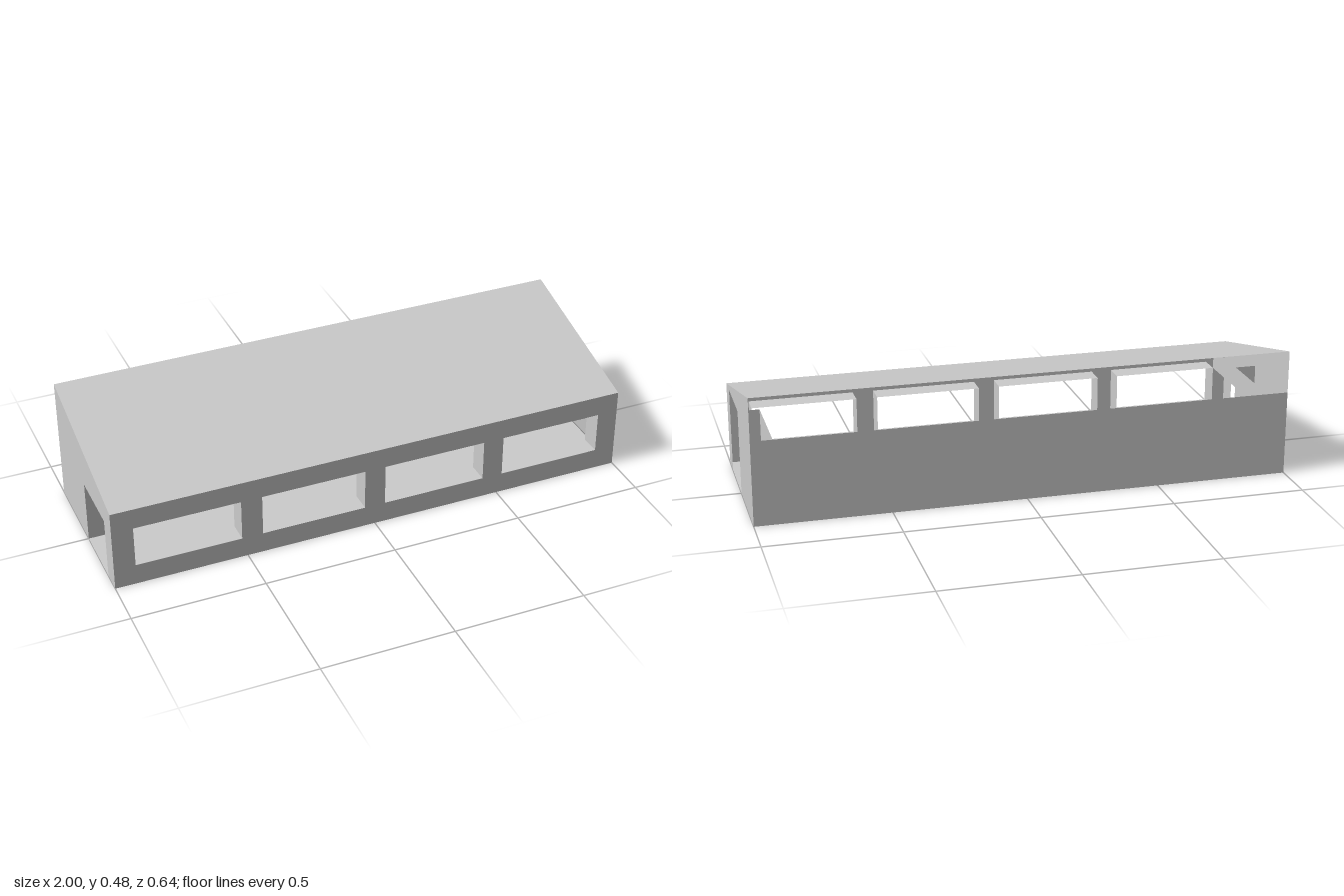
import * as THREE from 'three';

const material = new THREE.MeshStandardMaterial({ color: 0xcccccc, flatShading: true, side: THREE.DoubleSide });
const W = 1, D = 0.32, EAVE = 0.32, RIDGE = 0.48, T = 0.08;
const DOOR_BACK = 0, DOOR_FRONT = 0.24;

// Flat four-sided panel, corners counter-clockwise seen from its front
function panel(name, a, b, c, d) {
  const geometry = new THREE.BufferGeometry();
  geometry.setAttribute('position', new THREE.Float32BufferAttribute([...a, ...b, ...c, ...d], 3));
  geometry.setIndex([0, 1, 2, 0, 2, 3]);
  geometry.computeVertexNormals();
  const mesh = new THREE.Mesh(geometry, material);
  mesh.name = name;
  return mesh;
}

const outline = (points) => points.map(([x, y]) => new THREE.Vector2(x, y));
const rectangle = (x0, x1, y0, y1) => [[x0, y0], [x1, y0], [x1, y1], [x0, y1]];

// Front wall with four windows, each lined by a shallow reveal
function frontWall() {
  const group = new THREE.Group();
  group.name = 'frontWall';
  const shape = new THREE.Shape(outline(rectangle(-W, W, 0, EAVE)));
  for (let i = 0; i < 4; i++) {
    const x0 = -0.92 + i * 0.48;
    const corners = rectangle(x0, x0 + 0.4, 0.08, 0.24);
    shape.holes.push(new THREE.Path(outline(corners)));
    corners.forEach(([ax, ay], k) => {
      const [bx, by] = corners[(k + 1) % 4];
      group.add(panel('windowReveal', [ax, ay, D], [bx, by, D], [bx, by, D - T], [ax, ay, D - T]));
    });
  }
  const wall = new THREE.Mesh(new THREE.ShapeGeometry(shape), material);
  wall.name = 'windowWall';
  wall.position.z = D;
  group.add(wall);
  return group;
}

// Sloping end wall with a doorway; side is +1 (left) or -1 (right)
function endWall(side, doorHeight) {
  const group = new THREE.Group();
  group.name = side > 0 ? 'leftEnd' : 'rightEnd';
  const profile = [
    [D, 0], [DOOR_FRONT, 0], [DOOR_FRONT, doorHeight], [DOOR_BACK, doorHeight],
    [DOOR_BACK, 0], [-D, 0], [-D, RIDGE], [D, EAVE],
  ];
  const shape = new THREE.Shape(outline(profile.map(([z, y]) => [-side * z, y])));
  const wall = new THREE.Mesh(new THREE.ShapeGeometry(shape), material);
  wall.name = 'gableWall';
  wall.rotation.y = side * Math.PI / 2;
  wall.position.x = side * W;
  group.add(wall);

  // Inner lining behind the door and the door jamb
  const xo = side * W, xi = side * (W - T);
  group.add(panel('innerWall', [xi, 0, -D], [xi, 0, DOOR_BACK], [xi, EAVE, DOOR_BACK], [xi, EAVE, -D]));
  group.add(panel('doorJamb', [xi, 0, DOOR_BACK], [xo, 0, DOOR_BACK], [xo, EAVE, DOOR_BACK], [xi, EAVE, DOOR_BACK]));
  if (doorHeight < EAVE) {
    group.add(panel('doorHead', [xo, doorHeight, DOOR_BACK], [xi, doorHeight, DOOR_BACK],
      [xi, doorHeight, DOOR_FRONT], [xo, doorHeight, DOOR_FRONT]));
    group.add(panel('doorHeader', [xi, doorHeight, DOOR_BACK], [xi, doorHeight, DOOR_FRONT],
      [xi, EAVE, DOOR_FRONT], [xi, EAVE, DOOR_BACK]));
  }
  return group;
}

export function createModel() {
  const model = new THREE.Group();
  model.name = 'shelter';

  // Thin outer shell, with an open strip above the back wall
  model.add(panel('floor', [-W, 0, D], [W, 0, D], [W, 0, -D], [-W, 0, -D]));
  model.add(panel('roof', [-W, EAVE, D], [W, EAVE, D], [W, RIDGE, -D], [-W, RIDGE, -D]));
  model.add(panel('backWall', [W, 0, -D], [-W, 0, -D], [-W, EAVE, -D], [W, EAVE, -D]));
  model.add(frontWall());
  model.add(endWall(1, 0.32));
  model.add(endWall(-1, 0.24));

  // Low block along the back of the room
  const bench = new THREE.Mesh(new THREE.BoxGeometry(0.48, 0.1, D), material);
  bench.name = 'bench';
  bench.position.set(-0.68, 0.05, -D / 2);
  model.add(bench);

  return model;
}
